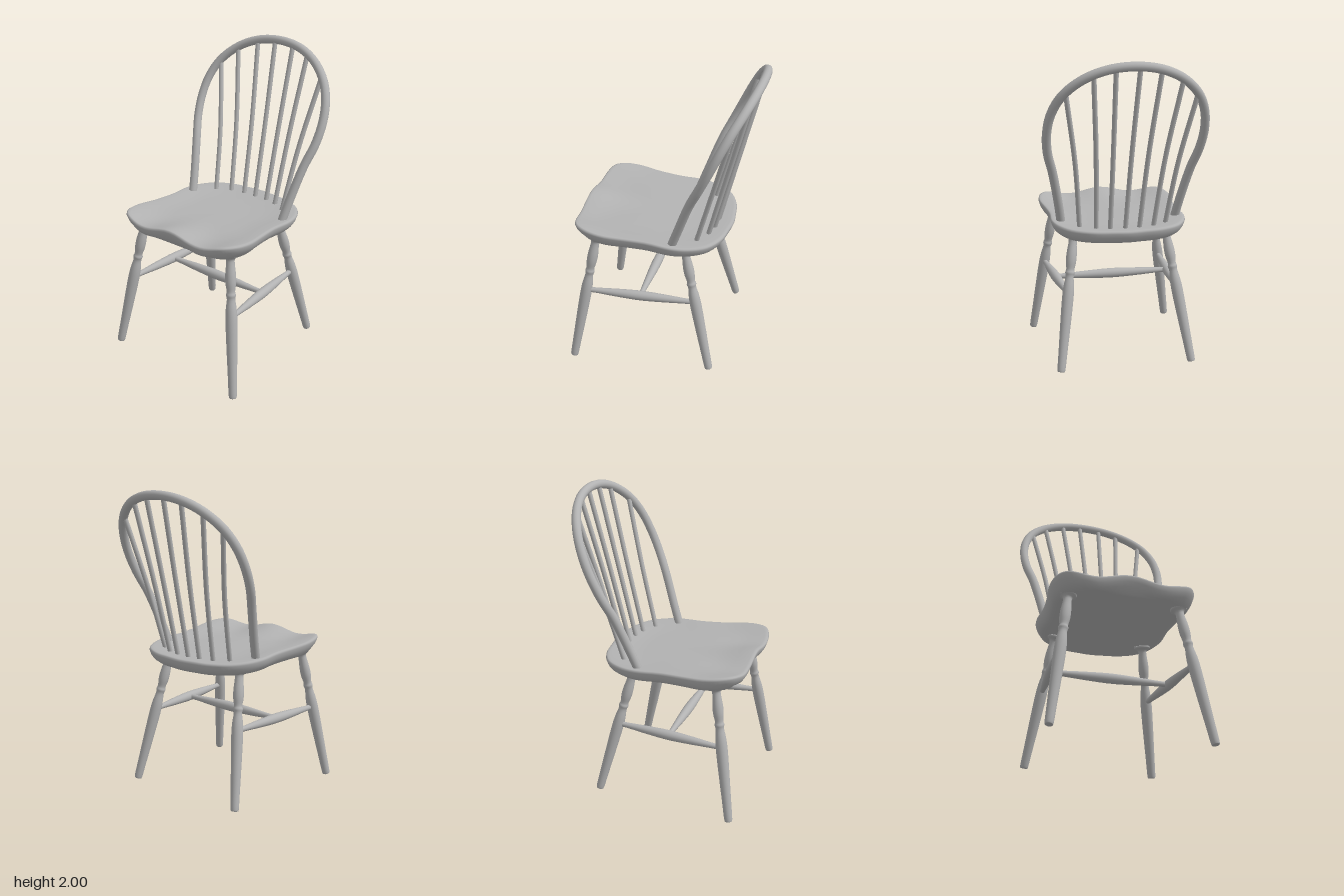
import * as THREE from 'three';

const V = (x, y, z) => new THREE.Vector3(x, y, z);
const smooth = THREE.MathUtils.smoothstep;

// Turned part: lathe profile [radius, fraction of length] laid from point a to point b
function turned(name, profile, a, b, material) {
  const dir = b.clone().sub(a);
  const length = dir.length();
  const curve = new THREE.SplineCurve(profile.map(([r, t]) => new THREE.Vector2(r, t * length)));
  const pts = [new THREE.Vector2(0, 0), ...curve.getPoints(profile.length * 3), new THREE.Vector2(0, length)];
  const mesh = new THREE.Mesh(new THREE.LatheGeometry(pts, 20), material);
  mesh.name = name;
  mesh.position.copy(a);
  mesh.quaternion.setFromUnitVectors(V(0, 1, 0), dir.normalize());
  return mesh;
}

function tube(name, points, radius, segments, material) {
  const geo = new THREE.TubeGeometry(new THREE.CatmullRomCurve3(points), segments, radius, 14);
  const mesh = new THREE.Mesh(geo, material);
  mesh.name = name;
  return mesh;
}

// Saddle seat: one outline scaled into rings, from underside centre to top centre
function seatGeometry() {
  const half = [[0, 0.57], [0.17, 0.57], [0.31, 0.562], [0.395, 0.53], [0.44, 0.465], [0.458, 0.36], [0.44, 0.21],
    [0.428, 0.06], [0.436, -0.1], [0.41, -0.21], [0.34, -0.315], [0.22, -0.38], [0.1, -0.4], [0, -0.41]];
  const mirrored = half.slice(1, -1).reverse().map(([x, z]) => [-x, z]);
  const curve = new THREE.CatmullRomCurve3([...half, ...mirrored].map(([x, z]) => V(x, 0, z)), true);
  const n = 104;
  const outline = curve.getPoints(n).slice(0, n);
  const cz = 0.08;
  const rim = (x, z) => 0.972 + 0.05 * z + 0.018 * smooth(z, 0.2, 0.57) * Math.cos((2 * Math.PI * x) / 0.44);
  // [scale, drop below rim]; a null drop marks the flat underside
  const rings = [[0, null], [0.45, null], [0.84, null], [0.9, null], [0.95, 0.066], [0.982, 0.042], [1, 0.016],
    [0.995, 0.005], [0.98, 0], [0.95, 0], [0.88, 0], [0.78, 0], [0.65, 0], [0.5, 0], [0.3, 0], [0, 0]];
  const pos = [], idx = [];
  rings.forEach(([s, drop], k) => {
    for (const p of outline) {
      const x = p.x * s, z = cz + (p.z - cz) * s;
      const dish = k > 7 ? 0.018 * (1 - smooth(s, 0.55, 0.98)) : 0;
      pos.push(x, drop === null ? 0.885 + 0.045 * z : rim(x, z) - drop - dish, z);
    }
    if (k === 0) return;
    for (let j = 0; j < n; j++) {
      const a = (k - 1) * n + j, b = (k - 1) * n + ((j + 1) % n);
      const d = a + n, c = b + n;
      if (k > 1) idx.push(a, b, d);
      if (k < rings.length - 1) idx.push(c, d, b);
      else idx.pop(), idx.pop(), idx.pop(), idx.push(a, b, d);
      if (k === 1) continue;
    }
  });
  const geo = new THREE.BufferGeometry();
  geo.setAttribute('position', new THREE.Float32BufferAttribute(pos, 3));
  geo.setIndex(idx);
  geo.computeVertexNormals();
  return geo;
}

export function createModel() {
  const chair = new THREE.Group();
  chair.name = 'spindleBackChair';
  const wood = new THREE.MeshStandardMaterial({ color: 0xb2b2b2 });
  wood.name = 'plain grey';

  const seat = new THREE.Mesh(seatGeometry(), wood);
  seat.name = 'seat';
  chair.add(seat);

  // Bent hoop, leaning back
  const side = [[0.372, 0.94, -0.09], [0.395, 1.08, -0.14], [0.44, 1.3, -0.22], [0.478, 1.44, -0.285],
    [0.488, 1.57, -0.345], [0.468, 1.69, -0.4], [0.41, 1.8, -0.455], [0.3, 1.895, -0.51], [0.16, 1.953, -0.546]];
  const hoop = [...side.map(([x, y, z]) => V(-x, y, z)), V(0, 1.972, -0.558),
    ...side.slice().reverse().map(([x, y, z]) => V(x, y, z))];
  chair.add(tube('backHoop', hoop, 0.028, 110, wood));

  // Spindles: [bottom x, bottom z, top x, top y, top z]
  const spindles = [[-0.275, -0.225, -0.41, 1.79, -0.45], [-0.185, -0.28, -0.305, 1.885, -0.505],
    [-0.09, -0.3, -0.167, 1.945, -0.54], [0, -0.305, -0.035, 1.965, -0.552], [0.095, -0.3, 0.108, 1.955, -0.548],
    [0.18, -0.28, 0.235, 1.92, -0.527], [0.275, -0.225, 0.39, 1.82, -0.465]];
  for (const [bx, bz, tx, ty, tz] of spindles) {
    const a = V(bx, 0.93, bz), b = V(tx, ty, tz);
    const mid = a.clone().lerp(b, 0.5);
    mid.x -= 0.12 * (tx - bx);
    chair.add(tube('spindle', [a, mid, b], 0.0155, 20, wood));
  }

  // Splayed turned legs with a vase, a neck ring and a flared top
  const legProfile = [[0.021, 0], [0.026, 0.02], [0.029, 0.15], [0.034, 0.35], [0.037, 0.53], [0.034, 0.62],
    [0.026, 0.69], [0.031, 0.72], [0.026, 0.745], [0.033, 0.8], [0.033, 0.86], [0.027, 0.93], [0.029, 0.965],
    [0.052, 0.985], [0.052, 1]];
  const legs = {
    frontRightLeg: [V(-0.483, 0.036, 0.555), V(-0.352, 0.915, 0.41)],
    frontLeftLeg: [V(0.493, 0.004, 0.56), V(0.352, 0.915, 0.41)],
    backRightLeg: [V(-0.43, 0.042, -0.362), V(-0.295, 0.885, -0.16)],
    backLeftLeg: [V(0.425, 0.042, -0.362), V(0.305, 0.885, -0.16)],
  };
  for (const [name, [foot, top]] of Object.entries(legs)) chair.add(turned(name, legProfile, foot, top, wood));

  // H stretcher: two side bars and a cross bar, thicker in the middle
  const barProfile = [[0.017, 0], [0.018, 0.1], [0.026, 0.28], [0.032, 0.5], [0.026, 0.72], [0.018, 0.9], [0.017, 1]];
  const onLeg = (name) => {
    const [foot, top] = legs[name];
    return foot.clone().lerp(top, (0.52 - foot.y) / (top.y - foot.y));
  };
  const ends = ['Right', 'Left'].map((s) => {
    const a = onLeg(`front${s}Leg`), b = onLeg(`back${s}Leg`);
    chair.add(turned(`side${s}Stretcher`, barProfile, a, b, wood));
    return a.clone().lerp(b, 0.5);
  });
  chair.add(turned('crossStretcher', barProfile, ends[0], ends[1], wood));
  return chair;
}
